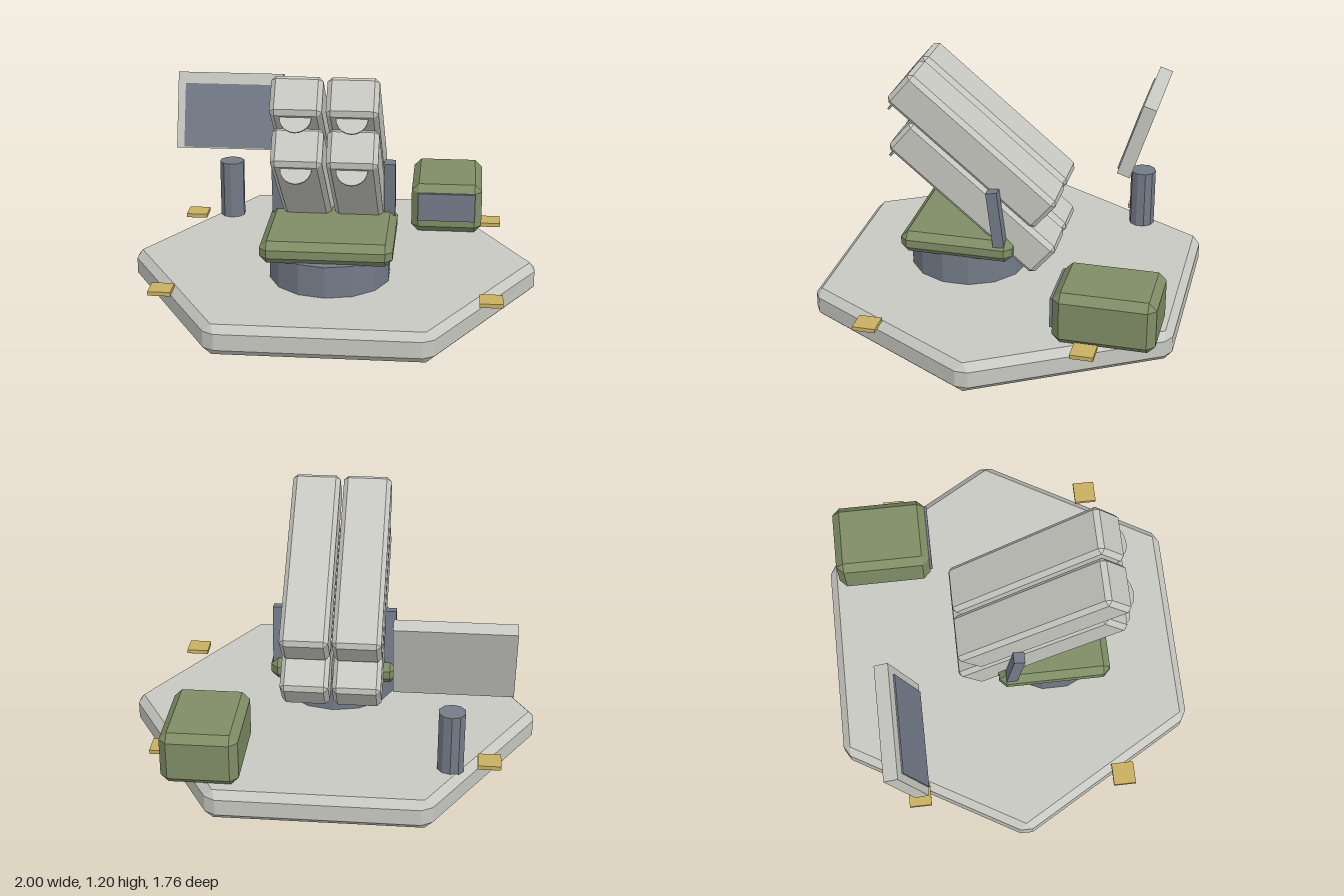
import * as THREE from 'three';
import { ConvexGeometry } from 'three/addons/geometries/ConvexGeometry.js';

const paint = (name, color) => {
  const m = new THREE.MeshStandardMaterial({ color });
  m.name = name;
  m.flatShading = true;
  return m;
};

// Box with every edge cut by a flat chamfer c
function chamferBox(w, h, d, c) {
  const pts = [];
  for (const sx of [-1, 1]) for (const sy of [-1, 1]) for (const sz of [-1, 1]) {
    const x = w / 2, y = h / 2, z = d / 2;
    for (const [a, b, e] of [[0, c, c], [c, 0, c], [c, c, 0]]) {
      pts.push(new THREE.Vector3(sx * (x - a), sy * (y - b), sz * (z - e)));
    }
  }
  return new ConvexGeometry(pts);
}

// Hexagonal slab with corners on the x axis and chamfered edges
function chamferHexagon(radius, height, c) {
  const pts = [];
  const corner = (k, r) => new THREE.Vector3(r * Math.cos(k * Math.PI / 3), 0, r * Math.sin(k * Math.PI / 3));
  const inner = radius - c / Math.cos(Math.PI / 6);
  for (let k = 0; k < 6; k++) {
    for (const y of [0, height]) pts.push(corner(k, inner).setY(y));
    for (const y of [c, height - c]) {
      for (const side of [-1, 1]) {
        pts.push(corner(k, radius).lerp(corner(k + side, radius), c / radius).setY(y));
      }
    }
  }
  return new ConvexGeometry(pts);
}

export function createModel() {
  const model = new THREE.Group();
  model.name = 'launcherStation';
  const grey = paint('lightGrey', 0xc8c8c2);
  const green = paint('oliveGreen', 0x7f8d66);
  const slate = paint('slate', 0x747b88);
  const yellow = paint('markerYellow', 0xc8b060);

  const add = (parent, name, geometry, material, x = 0, y = 0, z = 0) => {
    const mesh = new THREE.Mesh(geometry, material);
    mesh.name = name;
    mesh.position.set(x, y, z);
    parent.add(mesh);
    return mesh;
  };

  // Base slab and corner markers
  add(model, 'baseSlab', chamferHexagon(1.0175, 0.15, 0.035), grey);
  for (const x of [-0.78, 0.78]) for (const z of [-0.515, 0.515]) {
    add(model, 'cornerMarker', new THREE.BoxGeometry(0.11, 0.02, 0.11), yellow, x, 0.163, z);
  }

  // Turntable and deck
  add(model, 'turntable', new THREE.CylinderGeometry(0.295, 0.295, 0.16, 14), slate, 0, 0.225, 0.225);
  add(model, 'turntableDeck', chamferBox(0.63, 0.11, 0.56, 0.035), green, 0, 0.353, 0.22);

  // Arms beside the tubes
  for (const side of [-1, 1]) {
    const arm = add(model, 'supportArm', new THREE.BoxGeometry(0.055, 0.29, 0.055), slate, side * 0.277, 0.526, 0.02);
    arm.rotation.x = 0.125;
  }

  // Four raised launch tubes, each with a round lid hanging at its mouth
  for (const x of [-0.128, 0.128]) for (const y of [0.595, 0.84]) {
    const tube = new THREE.Group();
    tube.name = 'launchTube';
    tube.position.set(x, y, 0.15);
    tube.rotation.x = -40 * Math.PI / 180;
    add(tube, 'tubeBody', chamferBox(0.238, 0.195, 0.94, 0.022), grey);
    const lid = add(tube, 'tubeLid', new THREE.CylinderGeometry(0.073, 0.073, 0.01, 20), grey, 0, -0.0975, 0.428);
    lid.rotation.x = Math.PI / 2;
    model.add(tube);
  }

  // Sensor post and tilted panel
  add(model, 'sensorPost', new THREE.CylinderGeometry(0.065, 0.065, 0.31, 10), slate, -0.597, 0.295, -0.555);
  const sensor = new THREE.Group();
  sensor.name = 'sensorPanel';
  sensor.position.set(-0.597, 0.726, -0.555);
  sensor.rotation.x = -18 * Math.PI / 180;
  add(sensor, 'panelBody', new THREE.BoxGeometry(0.555, 0.4, 0.07), grey);
  add(sensor, 'panelFace', new THREE.BoxGeometry(0.475, 0.335, 0.009), slate, 0, -0.027, 0.038);
  model.add(sensor);

  // Equipment cabinet
  add(model, 'cabinet', chamferBox(0.365, 0.26, 0.48, 0.037), green, 0.553, 0.28, -0.59);
  add(model, 'cabinetPlate', new THREE.BoxGeometry(0.295, 0.148, 0.018), slate, 0.553, 0.297, -0.347);

  return model;
}
